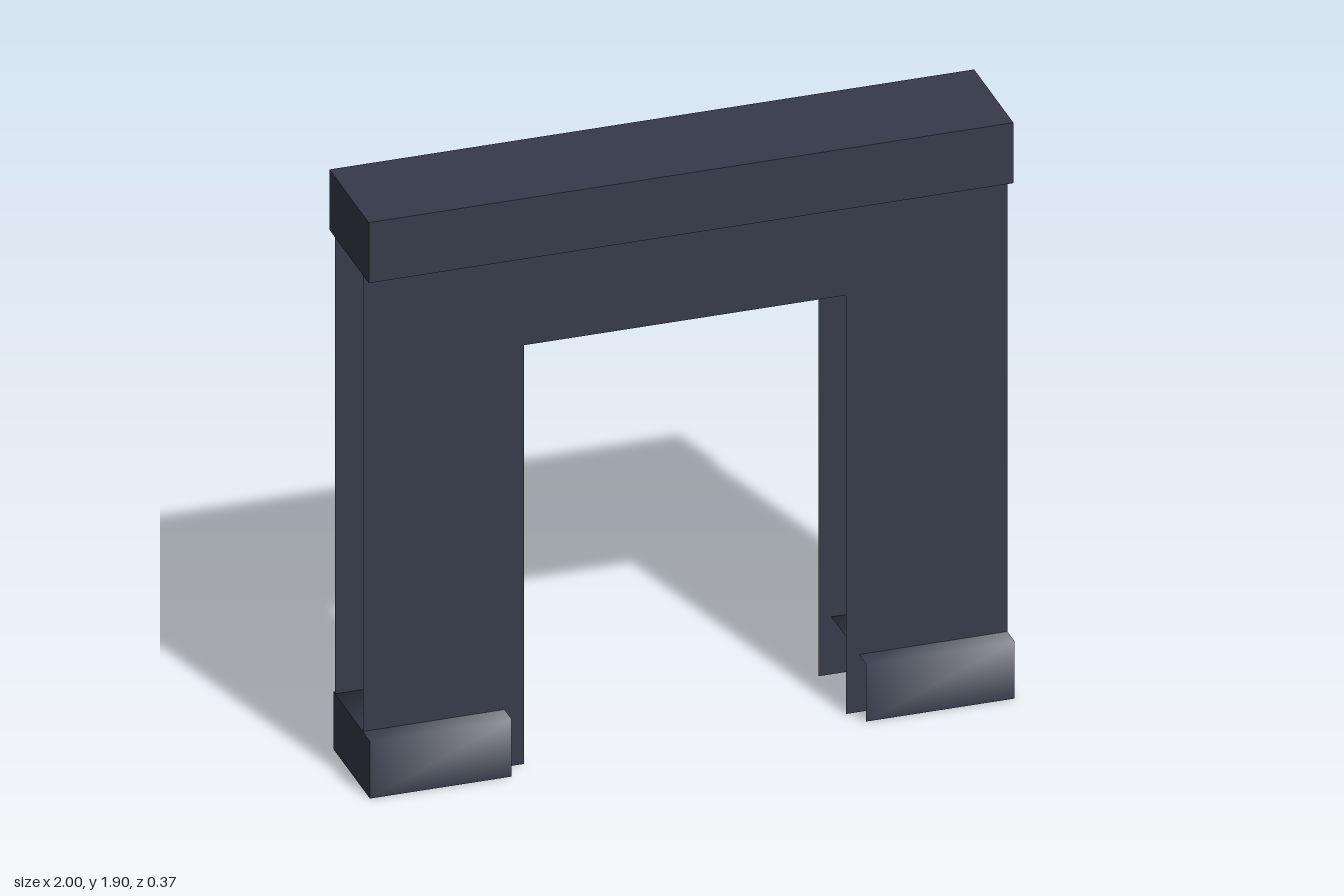
import * as THREE from 'three';

const slate = new THREE.MeshStandardMaterial({ color: 0x363b4a, side: THREE.DoubleSide });
slate.name = 'dark slate';

const FRONT = 0.185, BACK = -0.15, SHOE_TOP = 0.19;

function addMesh(parent, name, geometry) {
  const mesh = new THREE.Mesh(geometry, slate);
  mesh.name = name;
  parent.add(mesh);
  return mesh;
}

// Thin sheet in the outline of a doorway
function archPanel() {
  const outline = [[-1, 0], [-0.5, 0], [-0.5, 1.385], [0.5, 1.385], [0.5, 0], [1, 0], [1, 1.7], [-1, 1.7]];
  return new THREE.ShapeGeometry(new THREE.Shape(outline.map(([x, y]) => new THREE.Vector2(x, y))));
}

// Sheet folded over front, top and back, softly shaded across the folds
function foldedSheet(x0, x1) {
  const section = [[0, FRONT], [SHOE_TOP, FRONT], [SHOE_TOP, BACK], [0, BACK]];
  const positions = [], index = [];
  section.forEach(([y, z], i) => {
    positions.push(x0, y, z, x1, y, z);
    const a = i * 2;
    if (i < section.length - 1) index.push(a, a + 1, a + 3, a, a + 3, a + 2);
  });
  const geometry = new THREE.BufferGeometry();
  geometry.setAttribute('position', new THREE.Float32BufferAttribute(positions, 3));
  geometry.setIndex(index);
  geometry.computeVertexNormals();
  return geometry;
}

// Foot cover, open underneath and towards the doorway
function footCover(name, x0, x1, side) {
  const cover = new THREE.Group();
  cover.name = name;
  addMesh(cover, 'coverSheet', foldedSheet(x0, x1));
  const end = addMesh(cover, 'coverEnd', new THREE.PlaneGeometry(FRONT - BACK, SHOE_TOP));
  end.rotation.y = side * Math.PI / 2;
  end.position.set(side, SHOE_TOP / 2, (FRONT + BACK) / 2);
  return cover;
}

export function createModel() {
  const model = new THREE.Group();
  model.name = 'doorway';

  // Lintel across the top
  addMesh(model, 'lintel', new THREE.BoxGeometry(2, 0.2, 0.36)).position.set(0, 1.8, -0.005);

  // Front and back sheets, open between
  addMesh(model, 'frontPanel', archPanel()).position.z = 0.12;
  const back = addMesh(model, 'backPanel', archPanel());
  back.rotation.y = Math.PI;
  back.position.z = -0.135;

  // Covers around the feet
  model.add(footCover('rightFootCover', -1, -0.56, -1));
  model.add(footCover('leftFootCover', 0.54, 1, 1));

  return model;
}
